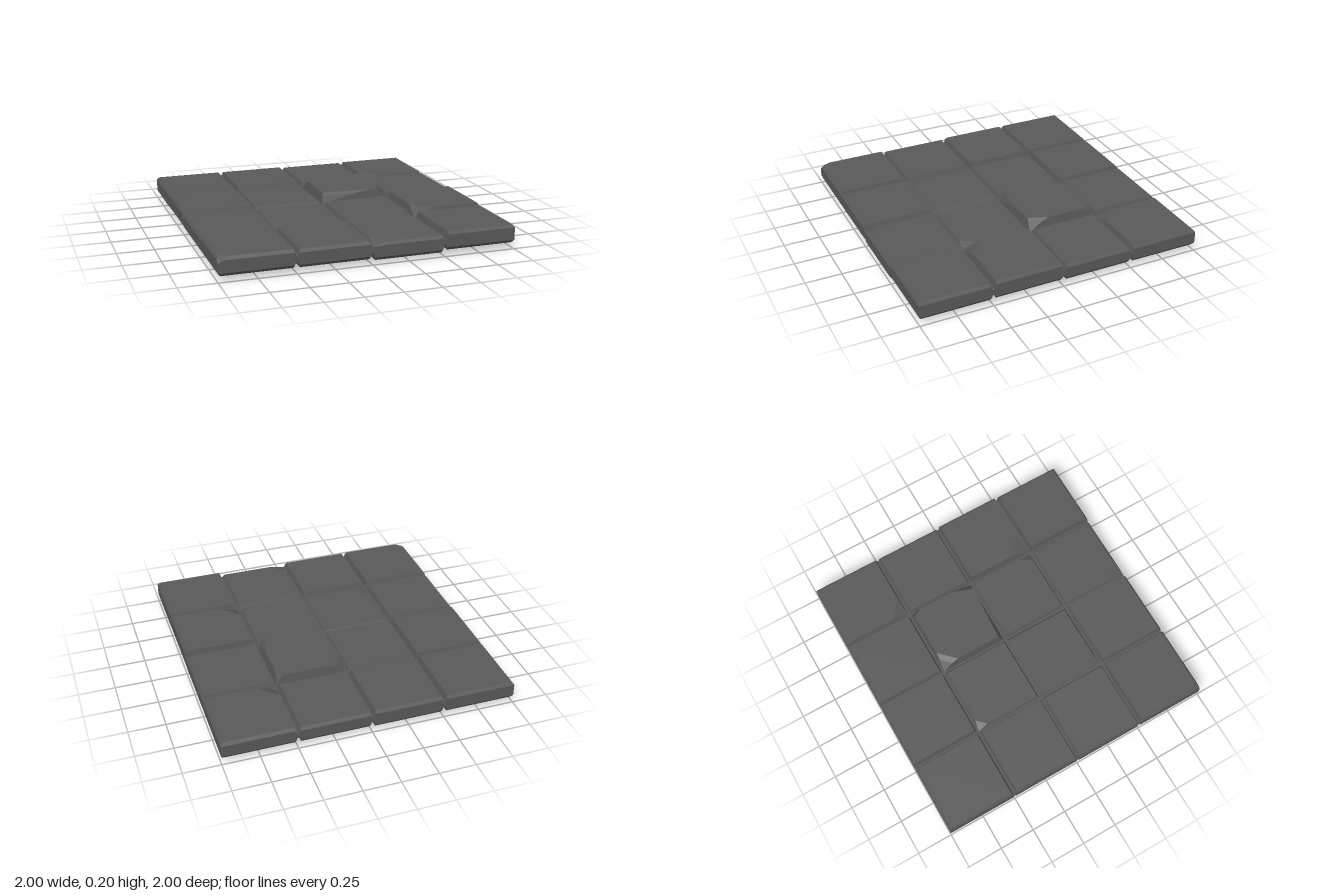
import * as THREE from 'three';
import { ConvexGeometry } from 'three/addons/geometries/ConvexGeometry.js';

const WAIST_LOW = 0.085, WAIST_HIGH = 0.12, GROOVE = 0.02, SEAM = 0.007;

// top and bottom height of each stone, rows from back to front, columns from -x to +x
const TOPS = [
  [0.165, 0.165, 0.16, 0.165],
  [0.165, 0.15, 0.2, 0.16],
  [0.155, 0.14, 0.15, 0.18],
  [0.163, 0.16, 0.147, 0.17],
];
const BOTTOMS = [
  [0.04, 0.04, 0.045, 0.045],
  [0.045, 0.04, 0.06, 0.045],
  [0.04, 0.003, 0.04, 0.05],
  [0.04, 0.04, 0.03, 0.045],
];

// broken corners: [column, row, x side, z side, x length, z length]
const TOP_CHIPS = [
  [3, 0, -1, 1, 0.12, 0.11], [1, 1, -1, -1, 0.06, 0.06],
  [2, 1, -1, -1, 0.11, 0.11], [2, 1, 1, 1, 0.05, 0.14], [2, 1, -1, 1, 0.36, 0.025],
  [2, 1, 1, -1, 0.03, 0.06],
  [1, 2, -1, 1, 0.09, 0.1], [2, 2, 1, 1, 0.06, 0.08], [3, 2, -1, 1, 0.13, 0.13],
  [0, 3, -1, 1, 0.05, 0.05], [2, 3, -1, 1, 0.09, 0.1],
];
const BOTTOM_CHIPS = [
  [1, 2, -1, -1, 0.12, 0.1], [1, 2, -1, 1, 0.06, 0.1], [1, 2, 1, 1, 0.14, 0.08],
  [1, 0, -1, 1, 0.1, 0.09], [2, 1, 1, -1, 0.08, 0.1], [2, 3, 1, -1, 0.13, 0.1],
];

const findChip = (list, c, r, sx, sz) =>
  list.find((k) => k[0] === c && k[1] === r && k[2] === sx && k[3] === sz);

// one stone: the hull of its bevelled rings, with broken corners cut away
function stoneGeometry(col, row) {
  const points = [];
  const cx = -0.75 + col * 0.5, cz = -0.75 + row * 0.5;
  const isOuter = (index, side) => (side < 0 ? index === 0 : index === 3);

  for (const up of [true, false]) {
    const face = (up ? TOPS : BOTTOMS)[row][col];
    const waist = up ? WAIST_HIGH : WAIST_LOW;
    const shoulder = face + (up ? -0.02 : 0.02);
    // outer sides stand upright to a chamfer, inner sides slope into the groove
    const half = (outer, y) => {
      if (outer) return 0.25 - (y === face ? 0.015 : 0);
      return 0.25 - SEAM - (GROOVE - SEAM) * (y - waist) / (face - waist);
    };
    for (const sx of [-1, 1]) for (const sz of [-1, 1]) {
      const chip = findChip(up ? TOP_CHIPS : BOTTOM_CHIPS, col, row, sx, sz);
      const add = (y, dx, dz) => points.push(new THREE.Vector3(
        cx + sx * (half(isOuter(col, sx), y) - dx), y,
        cz + sz * (half(isOuter(row, sz), y) - dz)));
      add(waist, 0, 0);
      for (const [y, k] of [[shoulder, 0.6], [face, 1]]) {
        if (!chip) add(y, 0, 0);
        else {
          add(y, chip[4] * k, 0);
          add(y, 0, chip[5] * k);
        }
      }
    }
  }
  return new ConvexGeometry(points);
}

export function createModel() {
  const group = new THREE.Group();
  group.name = 'stoneFloor';
  const stone = new THREE.MeshStandardMaterial({ color: 0x595959 });
  stone.name = 'dark grey stone';

  // thin bed joining the stones at the bottom of the grooves
  const bed = new THREE.Mesh(
    new THREE.BoxGeometry(1.998, WAIST_HIGH - WAIST_LOW, 1.998), stone);
  bed.position.y = (WAIST_HIGH + WAIST_LOW) / 2;
  bed.name = 'bed';
  group.add(bed);

  // four by four paving stones
  for (let row = 0; row < 4; row++) for (let col = 0; col < 4; col++) {
    const mesh = new THREE.Mesh(stoneGeometry(col, row), stone);
    mesh.name = `pavingStone${row + 1}_${col + 1}`;
    group.add(mesh);
  }
  return group;
}
